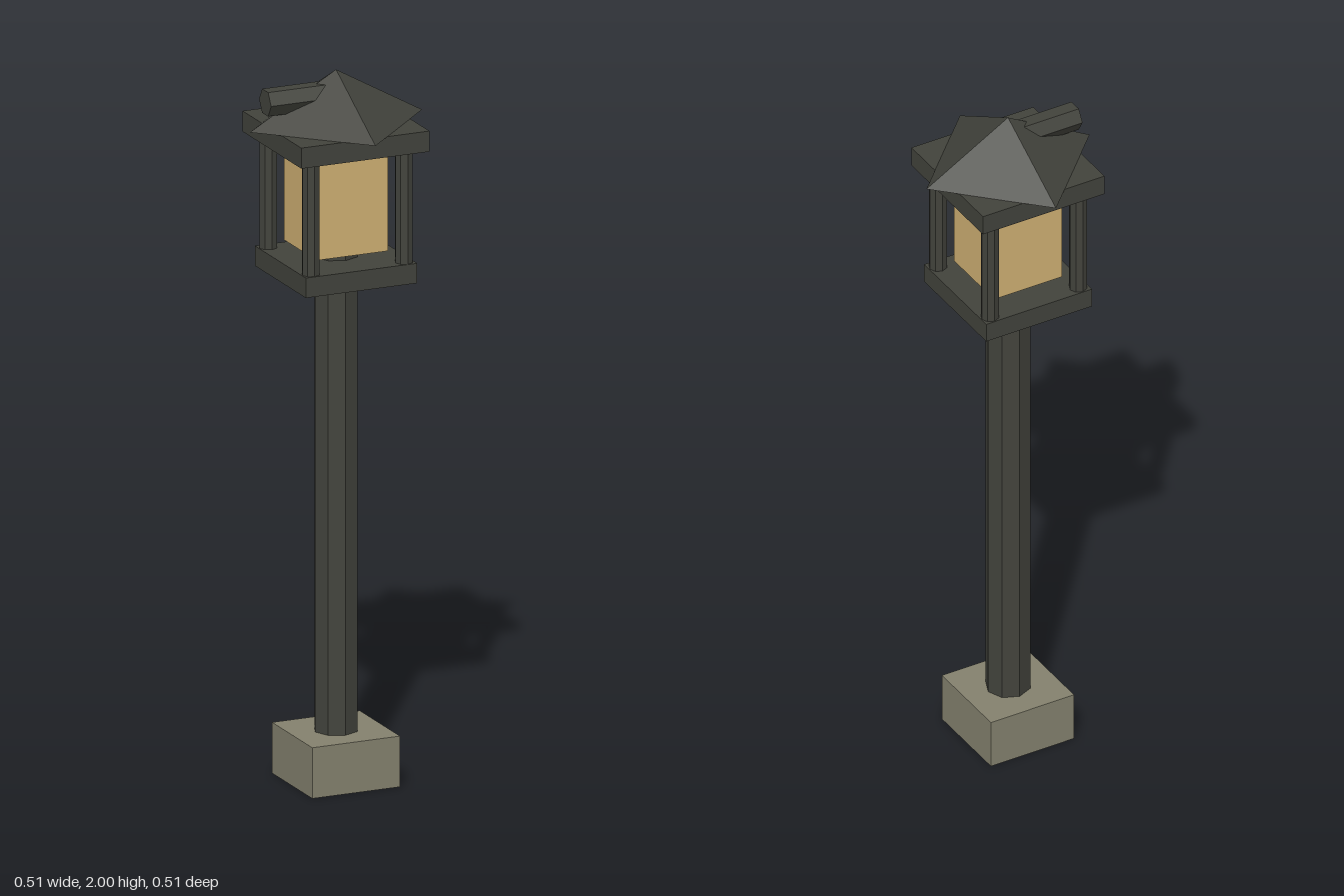
import * as THREE from 'three';

const mat = (name, color) => Object.assign(new THREE.MeshStandardMaterial({ color, flatShading: true }), { name });

export function createModel() {
  const iron = mat('dark iron', 0x42433c);
  const stone = mat('stone', 0x84816e);
  const glass = mat('amber glass', 0xcfb073);
  const model = new THREE.Group();
  model.name = 'lampPost';

  const add = (name, geometry, material, x, y, z) => {
    const mesh = new THREE.Mesh(geometry, material);
    mesh.name = name;
    mesh.position.set(x, y, z);
    model.add(mesh);
    return mesh;
  };
  // square block spanning y0 to y1
  const block = (name, half, y0, y1, material) =>
    add(name, new THREE.BoxGeometry(half * 2, y1 - y0, half * 2), material, 0, (y0 + y1) / 2, 0);
  // upright faceted bar spanning y0 to y1
  const bar = (name, r, y0, y1, x, z) =>
    add(name, new THREE.CylinderGeometry(r, r, y1 - y0, 8), iron, x, (y0 + y1) / 2, z);

  // footing and pole
  block('base', 0.13, 0, 0.143, stone);
  bar('pole', 0.062, 0.01, 1.83, 0, 0);

  // lantern cage and glass
  block('lowerPlate', 0.165, 1.423, 1.479, iron);
  block('lanternGlass', 0.106, 1.505, 1.78, glass);
  block('upperPlate', 0.19, 1.797, 1.855, iron);
  for (const x of [-0.138, 0.138]) {
    for (const z of [-0.138, 0.138]) bar('cagePost', 0.025, 1.47, 1.805, x, z);
  }

  // pyramid roof, corners turned to the axes
  add('roof', new THREE.ConeGeometry(0.255, 0.145, 4), iron, 0, 1.9275, 0);

  // short hexagonal pipe running out of one side of the roof
  const pipe = new THREE.CylinderGeometry(0.039, 0.039, 0.19, 6);
  pipe.rotateZ(Math.PI / 2);
  add('sidePipe', pipe, iron, -0.115, 1.933, 0);

  return model;
}
